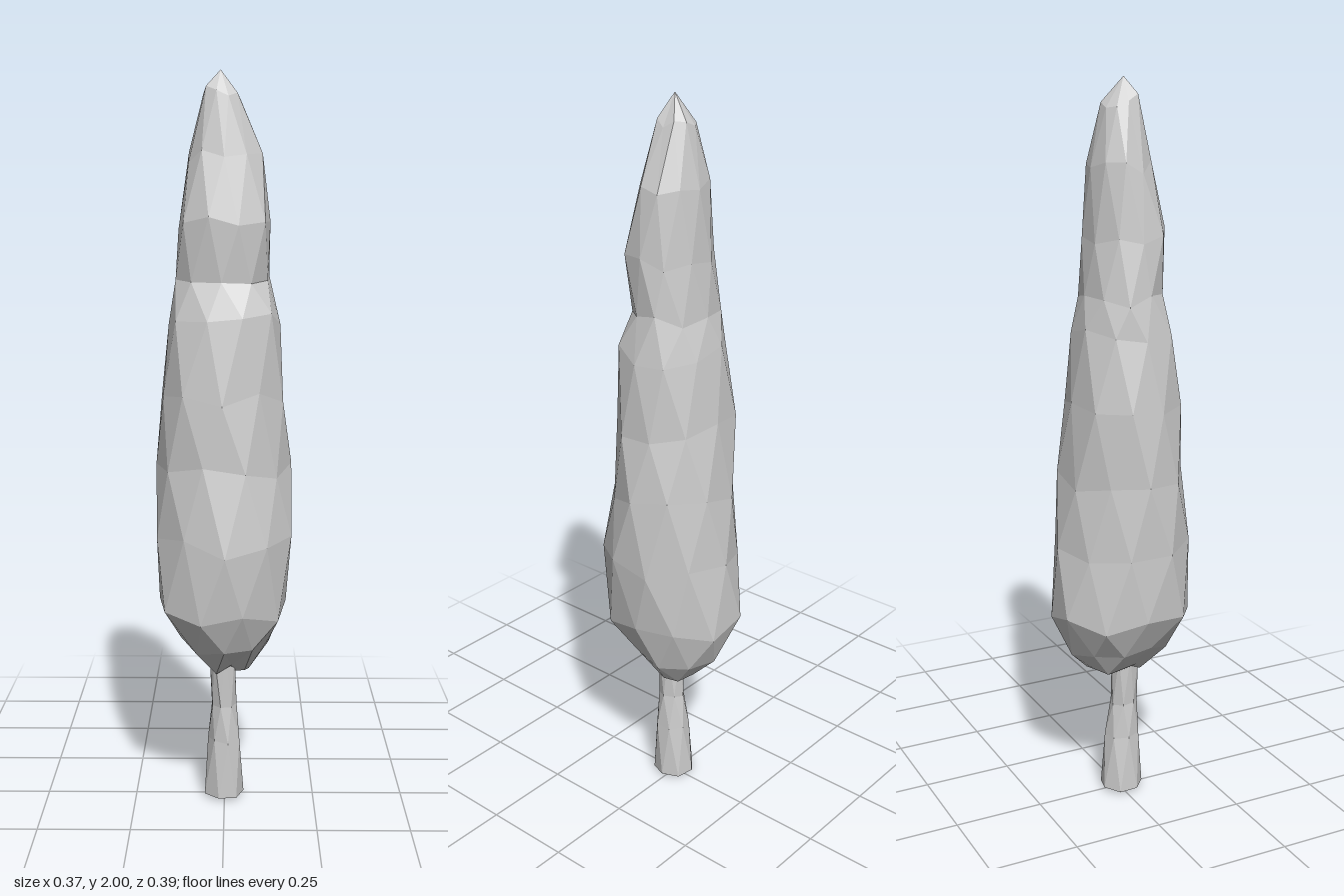
import * as THREE from 'three';

// small seeded generator, returns -1..1
function seeded(seed) {
  let s = seed;
  return () => {
    s = (s * 16807) % 2147483647;
    return (s / 2147483647) * 2 - 1;
  };
}

// Faceted skin over staggered oval rings [y, xMin, xMax, zMin, zMax], closed by a tip at each end.
function facetedSkin(rings, sides, bottom, top, jitterR, jitterY, seed) {
  const rand = seeded(seed);
  const points = [];
  const index = [];
  rings.forEach(([y, x0, x1, z0, z1], k) => {
    for (let i = 0; i < sides; i++) {
      const a = ((i + (k % 2) * 0.5) / sides) * Math.PI * 2;
      const r = 1.02 + jitterR * rand();
      points.push(
        (x0 + x1) / 2 + ((x1 - x0) / 2) * r * Math.cos(a),
        y + jitterY * rand(),
        (z0 + z1) / 2 + ((z1 - z0) / 2) * r * Math.sin(a)
      );
    }
  });
  const last = rings.length - 1;
  const low = rings.length * sides;
  points.push(...bottom, ...top);
  for (let i = 0; i < sides; i++) {
    const j = (i + 1) % sides;
    index.push(low, i, j, low + 1, last * sides + j, last * sides + i);
    for (let k = 0; k < last; k++) {
      const a = k * sides + i, b = k * sides + j;
      const c = a + sides, d = b + sides;
      if (k % 2 === 0) index.push(a, c, b, b, c, d);
      else index.push(a, c, d, a, d, b);
    }
  }
  const geometry = new THREE.BufferGeometry();
  geometry.setAttribute('position', new THREE.Float32BufferAttribute(points, 3));
  geometry.setIndex(index);
  const flat = geometry.toNonIndexed();
  flat.computeVertexNormals();
  return flat;
}

export function createModel() {
  const group = new THREE.Group();
  const material = new THREE.MeshStandardMaterial({ color: 0xcccccc, flatShading: true });
  const add = (name, geometry) => {
    const mesh = new THREE.Mesh(geometry, material);
    mesh.name = name;
    group.add(mesh);
  };

  // tall spindle-shaped crown with a slight waist below the tip
  const crown = [
    [0.38, -0.07, 0.07, -0.09, 0.06],
    [0.45, -0.13, 0.13, -0.14, 0.14],
    [0.56, -0.185, 0.175, -0.19, 0.19],
    [0.75, -0.18, 0.185, -0.175, 0.195],
    [0.95, -0.175, 0.175, -0.16, 0.165],
    [1.15, -0.175, 0.165, -0.145, 0.155],
    [1.35, -0.15, 0.155, -0.12, 0.14],
    [1.45, -0.135, 0.12, -0.1, 0.1],
    [1.6, -0.125, 0.125, -0.09, 0.115],
    [1.77, -0.1, 0.1, -0.08, 0.08],
    [1.94, -0.055, 0.045, -0.045, 0.05],
  ];
  add('crown', facetedSkin(crown, 10, [0, 0.36, 0], [-0.01, 2, 0.01], 0.05, 0.022, 77));

  // short trunk flaring at the foot, its top hidden inside the crown
  const trunk = [
    [0.01, -0.06, 0.055, -0.055, 0.065],
    [0.17, -0.045, 0.045, -0.04, 0.06],
    [0.27, -0.037, 0.033, -0.022, 0.052],
    [0.42, -0.04, 0.03, -0.02, 0.055],
  ];
  add('trunk', facetedSkin(trunk, 7, [0, 0, 0], [-0.005, 0.43, 0.015], 0.04, 0.005, 11));

  return group;
}
